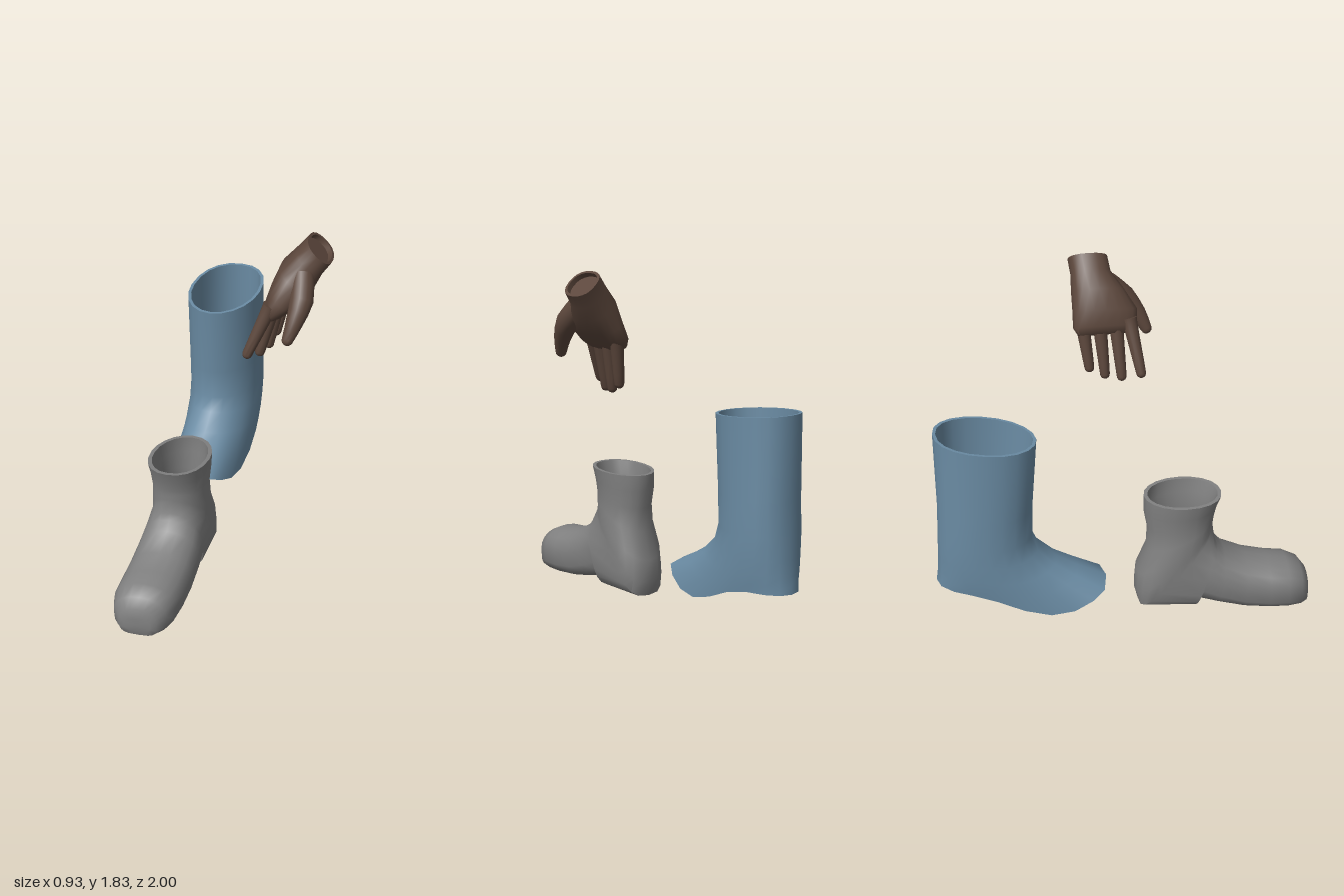
import * as THREE from 'three';
import { toCreasedNormals } from 'three/addons/utils/BufferGeometryUtils.js';

const SEG = 20;
const V = (x, y, z) => new THREE.Vector3(x, y, z);

// Cross-section: centre c, half axes u and v, squareness of the +u and -u halves, edge dip
const ring = (c, u, v, eA = 1, eB = 1, dip = 0) => ({ c, u, v, eA, eB, dip });

function ringPoint(r, j) {
  const a = (j / SEG) * Math.PI * 2, cos = Math.cos(a), sin = Math.sin(a);
  const e = cos >= 0 ? r.eA : r.eB;
  const p = r.c.clone()
    .addScaledVector(r.u, Math.sign(cos) * Math.abs(cos) ** (r.dip ? 1 : e))
    .addScaledVector(r.v, Math.sign(sin) * Math.abs(sin) ** e);
  if (r.dip && cos > -0.5) p.y -= r.dip * Math.sin(Math.PI * ((cos + 0.5) / 1.5) ** 1.3);
  return p;
}

// Skin over a list of cross-sections, with optional end caps
function loft(rings, capped) {
  const pos = [], idx = [];
  for (const r of rings) for (let j = 0; j < SEG; j++) pos.push(...ringPoint(r, j).toArray());
  const at = (i, j) => i * SEG + (j % SEG);
  for (let i = 0; i < rings.length - 1; i++) for (let j = 0; j < SEG; j++) {
    idx.push(at(i, j), at(i, j + 1), at(i + 1, j + 1), at(i, j), at(i + 1, j + 1), at(i + 1, j));
  }
  const cap = (i, flip) => {
    const k = pos.length / 3;
    pos.push(...rings[i].c.toArray());
    for (let j = 0; j < SEG; j++) idx.push(k, at(i, flip ? j + 1 : j), at(i, flip ? j : j + 1));
  };
  if (capped) {
    cap(0, true);
    cap(rings.length - 1, false);
  }
  const g = new THREE.BufferGeometry();
  g.setAttribute('position', new THREE.Float32BufferAttribute(pos, 3));
  g.setIndex(idx);
  return toCreasedNormals(g, 1);
}

// Cross-section between a front/top point and a back/bottom point (y, z); xAt gives the slanted centre line
function slice(ay, az, by, bz, w, xAt, eA, eB, dip) {
  const A = V(xAt(az), ay, az), B = V(xAt(bz), by, bz);
  return ring(A.clone().add(B).multiplyScalar(0.5), A.sub(B).multiplyScalar(0.5), V(w, 0, 0), eA, eB, dip);
}

// Same cross-section moved inward by the wall thickness
const inset = (r, t) => ({
  ...r,
  u: r.u.clone().setLength(r.u.length() - t),
  v: r.v.clone().setLength(r.v.length() - t),
});

// Tapered tube through points [x, y, z, radius] with a rounded tip
function digit(points) {
  const curve = new THREE.CatmullRomCurve3(points.map(p => V(p[0], p[1], p[2])));
  const n = 6, last = points.length - 1, rings = [];
  const add = (c, t, r) => {
    const u = V(1, 0, 0).addScaledVector(t, -t.x).normalize();
    const v = t.clone().cross(u);
    rings.push(ring(c, u.multiplyScalar(r), v.multiplyScalar(r)));
  };
  for (let i = 0; i <= n; i++) {
    const f = (i / n) * last, k = Math.min(Math.floor(f), last - 1);
    add(curve.getPoint(i / n), curve.getTangent(i / n),
      THREE.MathUtils.lerp(points[k][3], points[k + 1][3], f - k));
  }
  const end = curve.getPoint(1), t = curve.getTangent(1), r = points[last][3];
  for (const a of [0.4, 0.8, 1.2, 1.45]) {
    add(end.clone().addScaledVector(t, r * Math.sin(a)), t, r * Math.cos(a));
  }
  return loft(rings, true);
}

export function createModel() {
  const group = new THREE.Group();
  const mat = (name, color) => {
    const m = new THREE.MeshStandardMaterial({ color, side: THREE.DoubleSide });
    m.name = name;
    return m;
  };
  const grey = mat('boot grey', 0x808080);
  const blue = mat('trouser blue', 0x6a8ba3);
  const brown = mat('skin brown', 0x5c473c);
  const add = (name, geometry, material, parent) => {
    const m = new THREE.Mesh(geometry, material);
    m.name = name;
    parent.add(m);
  };

  // Boot: toe, instep, heel, then up the shaft and back down inside
  const boot = [
    [0.11, 1.0, 0.03, 1.0, 0.07, 0.7],
    [0.17, 0.993, 0, 0.99, 0.1, 0.55],
    [0.22, 0.955, 0, 0.95, 0.14, 0.5],
    [0.25, 0.88, 0, 0.88, 0.165, 0.5],
    [0.258, 0.78, 0, 0.78, 0.17, 0.5],
    [0.285, 0.66, 0.01, 0.64, 0.168, 0.5],
    [0.34, 0.54, 0.035, 0.5, 0.163, 0.55],
    [0.385, 0.505, 0.058, 0.39, 0.157, 0.6],
    [0.42, 0.487, 0.005, 0.38, 0.156, 0.6],
    [0.48, 0.48, 0, 0.085, 0.152, 0.65],
    [0.5, 0.48, 0.08, 0.065, 0.153, 0.75],
    [0.52, 0.48, 0.2, 0.072, 0.152, 0.85],
    [0.54, 0.48, 0.35, 0.125, 0.145, 0.95],
    [0.56, 0.483, 0.48, 0.13, 0.142, 1],
    [0.62, 0.495, 0.58, 0.112, 0.15, 1],
    [0.69, 0.52, 0.67, 0.112, 0.158, 1],
  ].map(([ay, az, by, bz, w, eB]) => slice(ay, az, by, bz, w, z => -0.2 - 0.09 * z, 0.92, eB));
  const bootLining = boot.slice(9).reverse().map(r => inset(r, 0.02));
  add('boot', loft([...boot, ...bootLining], true), grey, group);

  // Trouser leg: flared open hem over the foot, straight open shaft, thin lining
  const leg = [
    [0.24, -0.1, 0.23, -1.0, 0.45, 0.12],
    [0.31, -0.25, 0.27, -0.993, 0.65, 0.06],
    [0.37, -0.36, 0.32, -0.988, 0.85, 0.03],
    [0.45, -0.45, 0.4, -0.984, 1, 0.01],
    [0.53, -0.485, 0.52, -0.98, 1, 0],
    [0.7, -0.48, 0.7, -0.973, 1, 0],
    [1.1, -0.45, 1.14, -0.975, 1, 0],
  ].map(([ay, az, by, bz, eA, dip]) =>
    slice(ay, az, by, bz, 0.196, z => -0.2 - 0.11 * (z + 0.98), eA, 0.9, dip));
  const legLining = leg.map(r => inset(r, 0.016)).reverse();
  add('trouserLeg', loft([...leg, ...legLining, leg[0]], false), blue, group);

  // Hand: palm starting in a hollow wrist rim
  const hand = new THREE.Group();
  hand.name = 'hand';
  group.add(hand);
  const palm = [
    [0.415, 1.77, -0.1, 0.064, -0.06, 0.105],
    [0.365, 1.705, -0.09, 0.068, -0.06, 0.106],
    [0.31, 1.63, -0.06, 0.088, -0.055, 0.14],
    [0.255, 1.54, -0.03, 0.075, -0.04, 0.17],
    [0.21, 1.47, -0.035, 0.055, -0.03, 0.168],
    [0.19, 1.435, -0.035, 0.03, -0.02, 0.145],
  ].map(([x, y, z, ux, uy, h]) => ring(V(x, y, z), V(ux, uy, 0), V(0, 0, h), 0.85, 0.85));
  const rim = inset(palm[0], 0.014);
  const hollow = { ...rim, c: rim.c.clone().add(V(-0.02, -0.02, 0)) };
  add('palm', loft([hollow, rim, ...palm], true), brown, hand);

  // Four fingers: knuckle x, z and tip x, y, z
  const fingers = {
    indexFinger: [0.2, 0.09, 0.09, 1.243, 0.14],
    middleFinger: [0.21, 0.02, 0.135, 1.207, 0.043],
    ringFinger: [0.22, -0.065, 0.165, 1.21, -0.042],
    littleFinger: [0.235, -0.155, 0.187, 1.243, -0.122],
  };
  for (const [name, [kx, kz, x, y, z]] of Object.entries(fingers)) {
    add(name, digit([[kx, 1.515, kz, 0.042], [x, y, z, 0.026]]), brown, hand);
  }
  add('thumb', digit([
    [0.34, 1.66, -0.01, 0.06],
    [0.355, 1.56, 0.085, 0.062],
    [0.335, 1.47, 0.155, 0.045],
    [0.31, 1.39, 0.198, 0.03],
  ]), brown, hand);

  return group;
}
